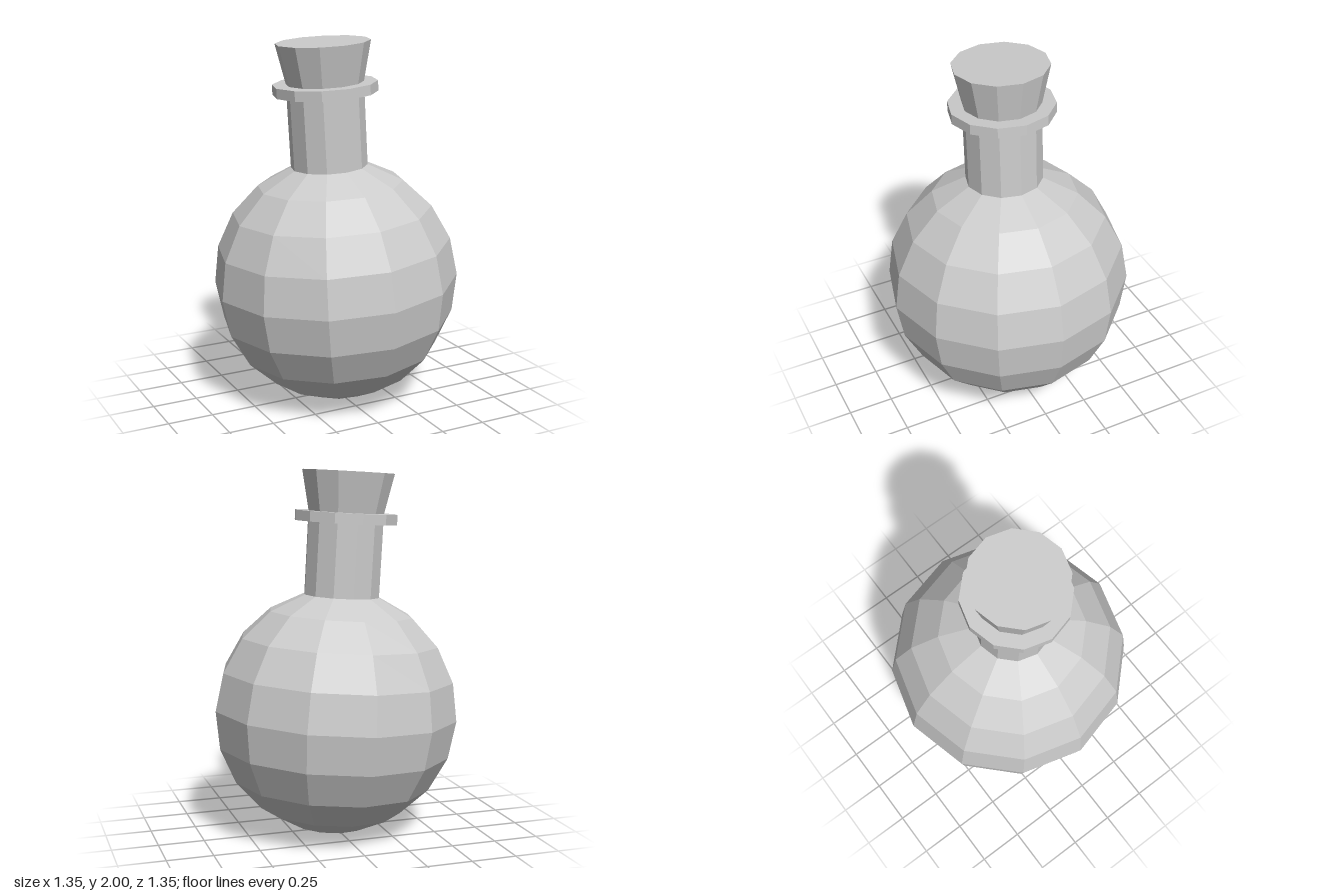
import * as THREE from 'three';

const SIDES = 12;
const R = 0.675; // bulb radius
const RINGS = 10; // bulb rows from pole to pole

export function createModel() {
  const flask = new THREE.Group();
  flask.name = 'flask';
  const material = new THREE.MeshStandardMaterial({ color: 0xcccccc, flatShading: true });

  // Turns a bottom-to-top profile of [radius, height] into a faceted part
  const turn = (name, profile) => {
    const points = profile.map(([r, y]) => new THREE.Vector2(r, y));
    const mesh = new THREE.Mesh(new THREE.LatheGeometry(points, SIDES), material);
    mesh.name = name;
    flask.add(mesh);
  };

  // Round bulb, open at its top ring where the neck begins
  const bulb = [];
  for (let i = 0; i < RINGS; i++) {
    const a = (i / RINGS) * Math.PI;
    bulb.push([R * Math.sin(a), -R * Math.cos(a)]);
  }
  turn('bulb', bulb);

  // Straight neck rising from the last bulb ring
  const [neckR, neckY] = bulb[RINGS - 1];
  turn('neck', [[neckR, neckY], [neckR, 1.04]]);

  // Flat collar around the mouth
  turn('collar', [[neckR, 1.04], [0.283, 1.04], [0.283, 1.095], [neckR, 1.095]]);

  // Flared stopper with a flat top
  turn('stopper', [[neckR, 1.095], [0.255, 1.312], [0, 1.312]]);

  // The whole flask leans slightly to its right about the bulb centre
  flask.position.y = R;
  flask.rotation.z = 0.057;

  const model = new THREE.Group();
  model.name = 'stopperedFlask';
  model.add(flask);
  return model;
}
